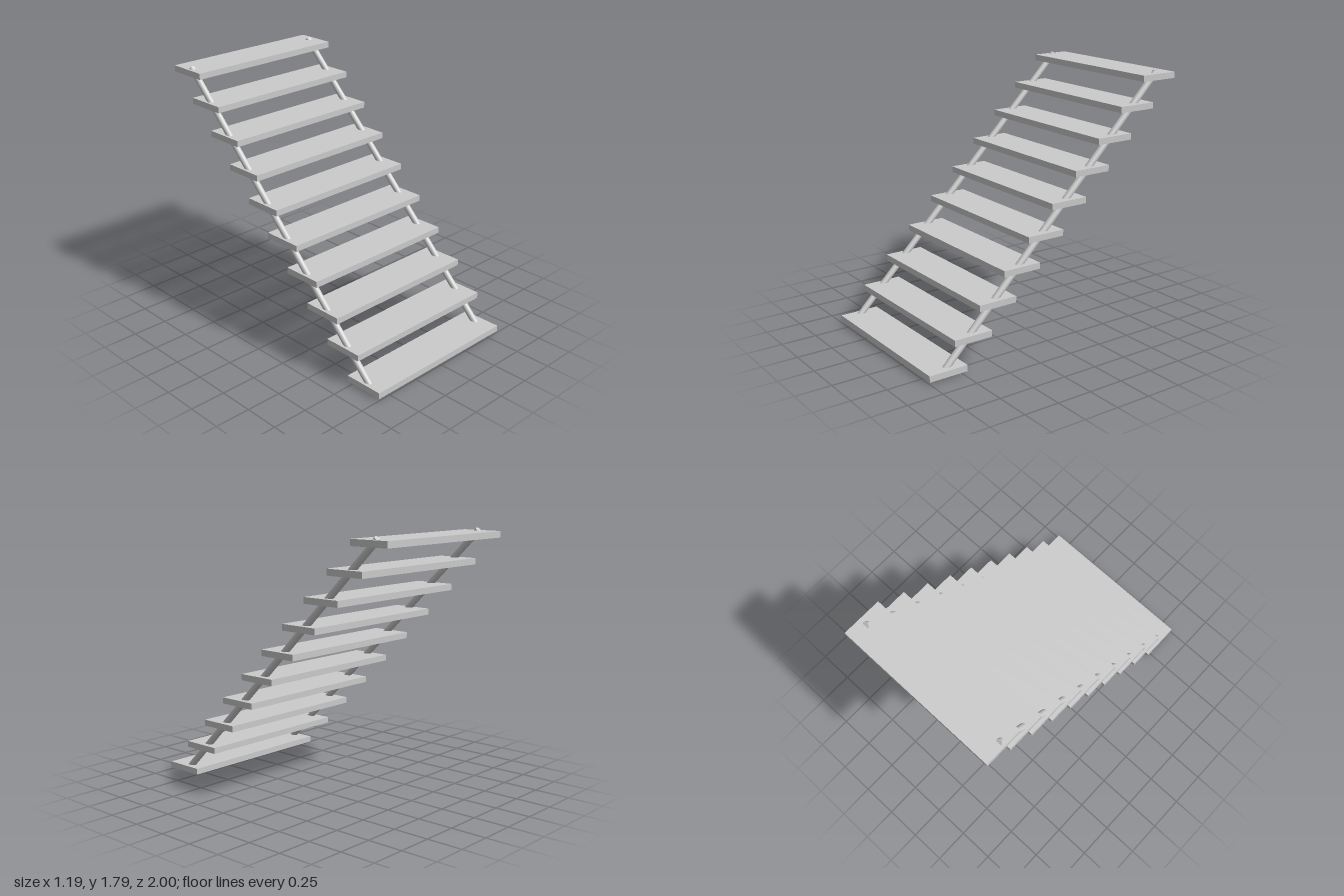
import * as THREE from 'three';

export function createModel() {
  const group = new THREE.Group();
  const mat = new THREE.MeshStandardMaterial({ color: 0xcccccc });

  // Treads climbing toward the back
  const count = 10;
  const treadGeo = new THREE.BoxGeometry(1.194, 0.043, 0.283);
  for (let i = 0; i < count; i++) {
    const t = i / (count - 1);
    const tread = new THREE.Mesh(treadGeo, mat);
    tread.name = `tread${i + 1}`;
    tread.position.set(0, 0.034 + 1.711 * t, 0.8585 - 1.717 * t);
    group.add(tread);
  }

  // Round sloping rail running through all treads
  function addRail(name, x, radius, zBottom, zTop) {
    const a = new THREE.Vector3(x, 0.016, zBottom);
    const b = new THREE.Vector3(x, 1.77, zTop);
    const dir = b.clone().sub(a);
    const rail = new THREE.Mesh(new THREE.CylinderGeometry(radius, radius, dir.length(), 32), mat);
    rail.name = name;
    rail.position.copy(a).add(b).multiplyScalar(0.5);
    rail.quaternion.setFromUnitVectors(new THREE.Vector3(0, 1, 0), dir.normalize());
    group.add(rail);
  }
  addRail('rightRail', -0.556, 0.0225, 0.899, -0.857);
  addRail('leftRail', 0.538, 0.0235, 0.874, -0.88);

  return group;
}
